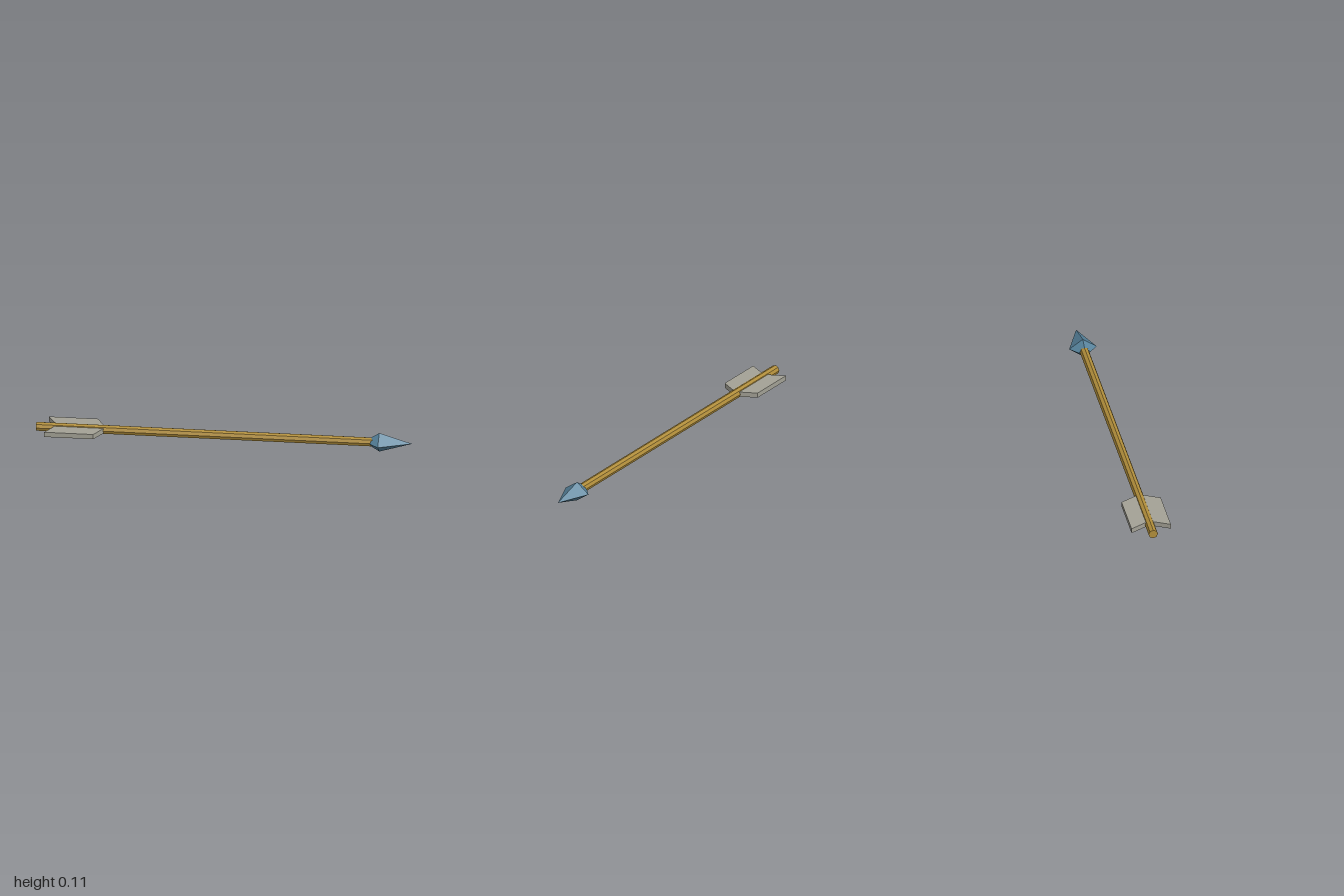
import * as THREE from 'three';

const AXIS_Y = 0.053;

function part(name, geometry, color) {
  const mesh = new THREE.Mesh(geometry, new THREE.MeshStandardMaterial({ color, flatShading: true }));
  mesh.name = name;
  return mesh;
}

export function createModel() {
  const arrow = new THREE.Group();
  arrow.name = 'arrow';

  // Octagonal shaft along x
  const shaftGeo = new THREE.CylinderGeometry(0.025, 0.025, 1.8, 8).rotateZ(-Math.PI / 2);
  const shaft = part('shaft', shaftGeo, 0xb08d3a);
  shaft.position.set(-0.1, AXIS_Y, 0);
  arrow.add(shaft);

  // Four-sided head: closed back, short flare, long point
  const profile = [[0, 0.78], [0.45, 0.78], [1, 0.825], [0, 1]].map(([r, h]) => new THREE.Vector2(r, h));
  const headGeo = new THREE.LatheGeometry(profile, 4).rotateZ(-Math.PI / 2).scale(1, 0.053, 0.074);
  const head = part('arrowhead', headGeo, 0x55819a);
  head.position.y = AXIS_Y;
  arrow.add(head);

  // Swept-back vanes on both sides, each a thick parallelogram
  for (const side of [1, -1]) {
    const outline = new THREE.Shape([[-0.892, 0], [-0.63, 0], [-0.685, 0.106], [-0.946, 0.106]]
      .map(([x, z]) => new THREE.Vector2(x, z * side)));
    const vaneGeo = new THREE.ExtrudeGeometry(outline, { depth: 0.027, bevelEnabled: false })
      .translate(0, 0, -0.0135).rotateX(Math.PI / 2);
    const vane = part(side > 0 ? 'frontVane' : 'backVane', vaneGeo, 0xa3a195);
    vane.position.y = AXIS_Y;
    arrow.add(vane);
  }

  return arrow;
}
